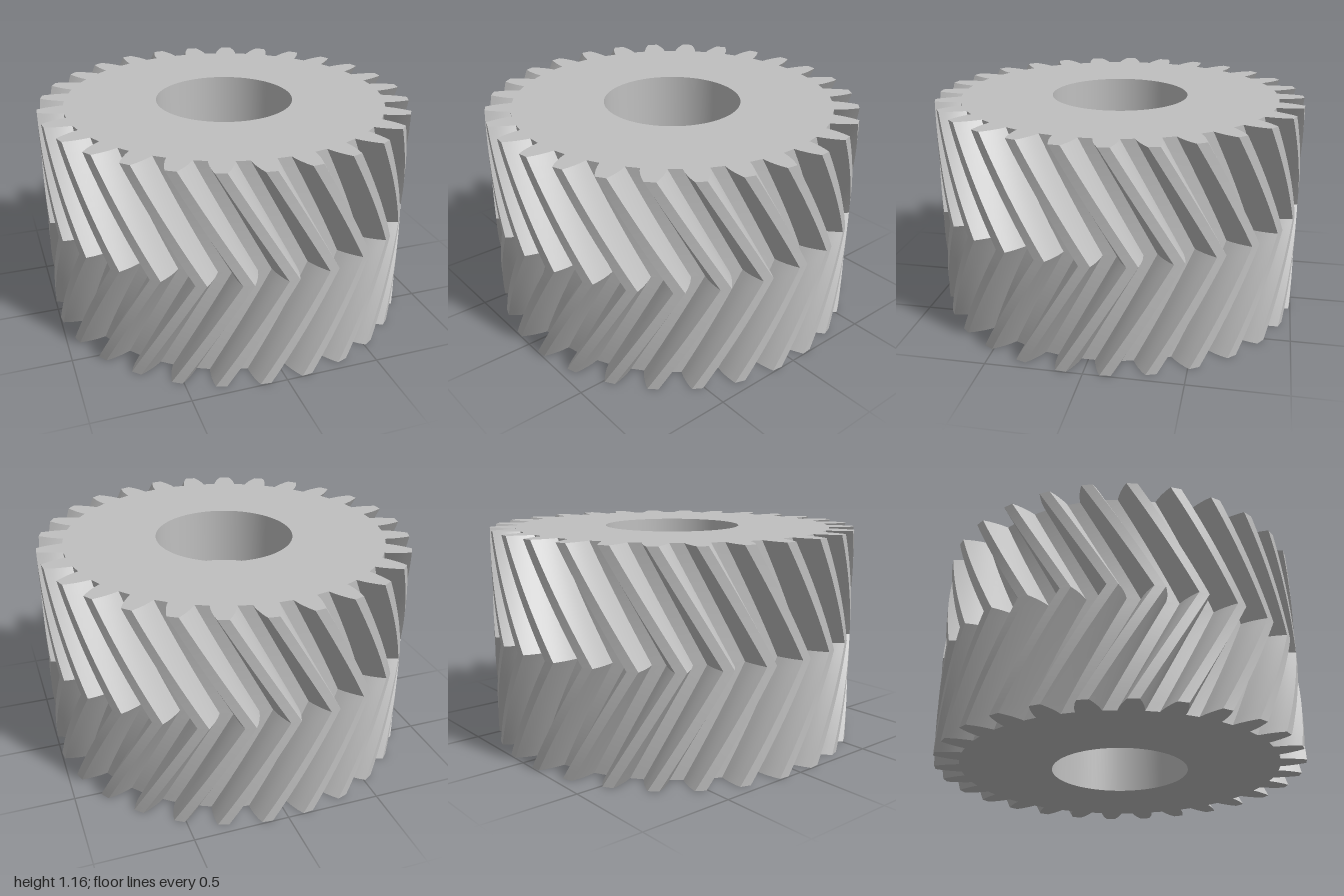
import * as THREE from 'three';

const TEETH = 28, HEIGHT = 1.16, MID = HEIGHT / 2;
const DEG = Math.PI / 180;
const PITCH = 2 * Math.PI / TEETH;
const TWIST = 20.3 * DEG;              // turn of the teeth between a face and the mid plane
const BORE = 0.19, RECESS = 0.37, RECESS_DEPTH = 0.31;
const LEVELS = 12;                     // slices per half of the gear

// Tooth flank from root to tip: [radius, half angle of the tooth in degrees]
const FLANK = [[0.865, 4.15], [0.9, 3.72], [0.933, 3.15], [0.967, 2.43], [1, 1.6]];

// One pitch of the outline, as strips that are each smooth in themselves
function pitchStrips(k) {
  const centre = (k + 0.5) * PITCH;
  const rise = FLANK.map(([r, a]) => [r, centre - a * DEG]);
  const fall = FLANK.map(([r, a]) => [r, centre + a * DEG]).reverse();
  const land = [rise.at(-1), fall[0]];
  const root = [fall.at(-1), [FLANK[0][0], centre + PITCH - FLANK[0][1] * DEG]];
  return [rise, land, fall, root];
}

// Sweeps all the strips helically from height y0 to y1, turning from t0 to t1
function helicalTeeth(y0, y1, t0, t1) {
  const positions = [], indices = [];
  for (let k = 0; k < TEETH; k++) {
    for (const strip of pitchStrips(k)) {
      const base = positions.length / 3, n = strip.length;
      for (let j = 0; j <= LEVELS; j++) {
        const f = j / LEVELS, turn = t0 + (t1 - t0) * f;
        for (const [r, a] of strip) {
          positions.push(r * Math.sin(a + turn), y0 + (y1 - y0) * f, r * Math.cos(a + turn));
        }
      }
      for (let j = 0; j < LEVELS; j++) {
        for (let i = 0; i < n - 1; i++) {
          const a = base + j * n + i, b = a + 1, c = a + n, d = c + 1;
          indices.push(a, b, d, a, d, c);
        }
      }
    }
  }
  const geometry = new THREE.BufferGeometry();
  geometry.setAttribute('position', new THREE.Float32BufferAttribute(positions, 3));
  geometry.setIndex(indices);
  geometry.computeVertexNormals();
  return geometry;
}

// Flat toothed end face with the recess opening
function faceGeometry() {
  const points = [];
  for (let k = 0; k < TEETH; k++) {
    const [rise, , fall] = pitchStrips(k);
    for (const [r, a] of [...rise, ...fall]) {
      points.push(new THREE.Vector2(r * Math.sin(a), r * Math.cos(a)));
    }
  }
  const shape = new THREE.Shape(points);
  shape.holes.push(new THREE.Path().absarc(0, 0, RECESS, 0, 2 * Math.PI, false));
  return new THREE.ShapeGeometry(shape, 48);
}

export function createModel() {
  const group = new THREE.Group();
  const steel = new THREE.MeshStandardMaterial({ color: 0xc0c0c0 });
  steel.name = 'steel grey';

  const add = (name, geometry) => {
    const mesh = new THREE.Mesh(geometry, steel);
    mesh.name = name;
    group.add(mesh);
    return mesh;
  };

  // Herringbone teeth: two mirrored helical halves
  add('lowerTeeth', helicalTeeth(0, MID, 0, TWIST));
  add('upperTeeth', helicalTeeth(MID, HEIGHT, TWIST, 0));

  // End faces
  const top = add('topFace', faceGeometry());
  top.rotation.x = -Math.PI / 2;
  top.position.y = HEIGHT;
  add('bottomFace', faceGeometry()).rotation.x = Math.PI / 2;

  // Stepped bore, from the top down, one sharp-edged piece for each step
  const profile = [
    [RECESS, HEIGHT], [RECESS, HEIGHT - RECESS_DEPTH],
    [BORE, HEIGHT - RECESS_DEPTH], [BORE, RECESS_DEPTH],
    [RECESS, RECESS_DEPTH], [RECESS, 0],
  ].map(([x, y]) => new THREE.Vector2(x, y));
  const names = ['topRecessWall', 'topRecessFloor', 'bore', 'bottomRecessFloor', 'bottomRecessWall'];
  names.forEach((name, i) => add(name, new THREE.LatheGeometry([profile[i], profile[i + 1]], 96)));

  return group;
}
